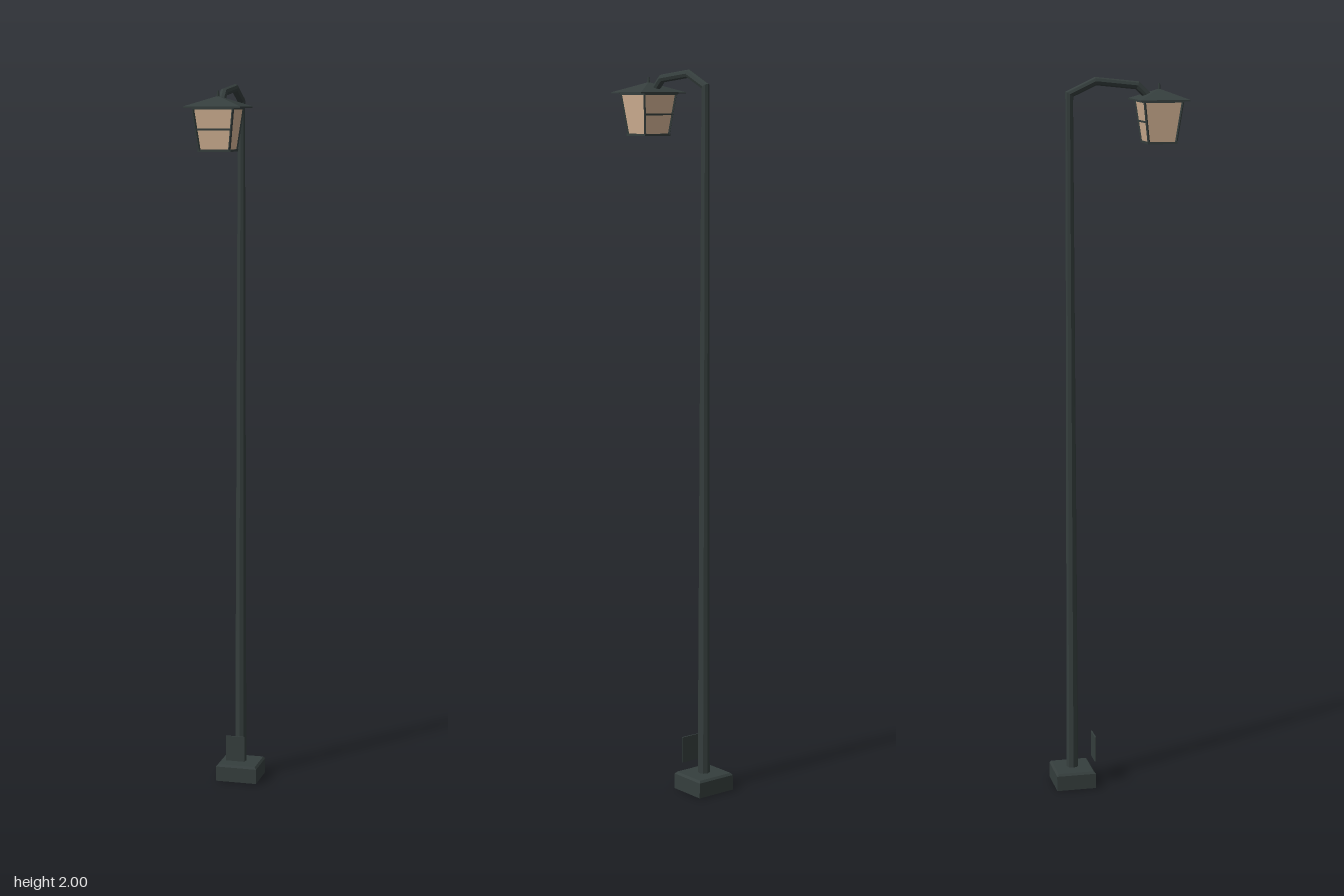
import * as THREE from 'three';

const iron = new THREE.MeshStandardMaterial({ color: 0x353e3d });
iron.name = 'dark iron';
const glass = new THREE.MeshStandardMaterial({ color: 0xd2b294 });
glass.name = 'warm glass';
iron.flatShading = true;
glass.flatShading = true;

const POLE_Z = -0.13;
const LAMP_Z = 0.118;

function add(parent, name, geometry, material, x = 0, y = 0, z = 0) {
  const mesh = new THREE.Mesh(geometry, material);
  mesh.name = name;
  mesh.position.set(x, y, z);
  parent.add(mesh);
  return mesh;
}

// Four-sided block standing on y = 0, with separate bottom and top half sizes
function taperedBlock(bx, bz, tx, tz, height) {
  const g = new THREE.BoxGeometry(2, height, 2).translate(0, height / 2, 0);
  const p = g.attributes.position;
  for (let i = 0; i < p.count; i++) {
    const top = p.getY(i) > height / 2;
    p.setX(i, p.getX(i) * (top ? tx : bx));
    p.setZ(i, p.getZ(i) * (top ? tz : bz));
  }
  g.computeVertexNormals();
  return g;
}

// Eight-sided pipe with mitred bends through [y, z] points, from tip to root
function bentPipe(points, r) {
  const n = points.length - 1;
  const pts = points.map(([y, z]) => new THREE.Vector3(0, y, z));
  const g = new THREE.CylinderGeometry(1, 1, 1, 8, n);
  const p = g.attributes.position;
  const dir = (i) => pts[i].clone().sub(pts[i + 1]).normalize();
  for (let i = 0; i < p.count; i++) {
    const row = Math.round((0.5 - p.getY(i)) * n);
    const a = dir(Math.max(row - 1, 0));
    const b = dir(Math.min(row, n - 1));
    const t = a.clone().add(b).normalize();
    const side = new THREE.Vector3(1, 0, 0).cross(t).multiplyScalar(r / t.dot(a));
    const v = pts[row].clone().addScaledVector(side, p.getZ(i));
    p.setXYZ(i, p.getX(i) * r, v.y, v.z);
  }
  g.computeVertexNormals();
  return g;
}

// Thin round bar between two points
function bar(parent, name, a, b, r) {
  const mesh = add(parent, name, new THREE.CylinderGeometry(r, r, a.distanceTo(b), 4), iron);
  mesh.position.copy(a).add(b).multiplyScalar(0.5);
  mesh.quaternion.setFromUnitVectors(new THREE.Vector3(0, 1, 0), b.clone().sub(a).normalize());
}

export function createModel() {
  const model = new THREE.Group();
  model.name = 'streetLamp';

  // Foot block with a bevelled upper edge
  add(model, 'base', taperedBlock(0.06, 0.056, 0.06, 0.056, 0.043), iron, 0, 0, POLE_Z);
  add(model, 'baseBevel', taperedBlock(0.06, 0.056, 0.055, 0.051, 0.006), iron, 0, 0.043, POLE_Z);

  // Tapering pole, hatch plate and curved arm
  add(model, 'pole', new THREE.CylinderGeometry(0.0105, 0.017, 1.895, 8), iron, 0, 0.9975, POLE_Z);
  add(model, 'hatchPlate', new THREE.BoxGeometry(0.056, 0.074, 0.004), iron, 0, 0.104, -0.068);
  add(model, 'arm', bentPipe([
    [1.948, 0.088], [1.977, 0.057], [1.989, -0.058], [1.955, POLE_Z], [1.94, POLE_Z],
  ], 0.011), iron);

  // Lantern
  const lantern = new THREE.Group();
  lantern.name = 'lantern';
  lantern.position.set(0, 1.824, LAMP_Z);
  model.add(lantern);

  const H = 0.112, BX = 0.041, BZ = 0.038, TX = 0.055, TZ = 0.053;
  add(lantern, 'glassPanes', taperedBlock(BX, BZ, TX, TZ, H), glass);
  add(lantern, 'bottomPlate', new THREE.BoxGeometry(0.09, 0.006, 0.082), iron, 0, 0, 0);
  add(lantern, 'topRim', new THREE.BoxGeometry(0.116, 0.006, 0.112), iron, 0, H - 0.001, 0);

  for (const sx of [-1, 1]) {
    for (const sz of [-1, 1]) {
      bar(lantern, 'cornerPost',
        new THREE.Vector3(sx * BX, 0, sz * BZ),
        new THREE.Vector3(sx * TX, H, sz * TZ), 0.0035);
    }
  }
  // Cross bars on the front and back panes
  for (const sz of [-1, 1]) {
    add(lantern, 'crossBar', new THREE.BoxGeometry(0.097, 0.005, 0.004), iron,
      0, H / 2, sz * (BZ + TZ) / 2);
  }

  // Pyramid roof with a small finial
  add(lantern, 'roofEdge', taperedBlock(0.078, 0.068, 0.078, 0.068, 0.004), iron, 0, H, 0);
  add(lantern, 'roof', taperedBlock(0.078, 0.068, 0.002, 0.002, 0.027), iron, 0, H + 0.004, 0);
  add(lantern, 'finial', new THREE.CylinderGeometry(0.003, 0.004, 0.02, 8), iron, 0, H + 0.036, 0);

  return model;
}
